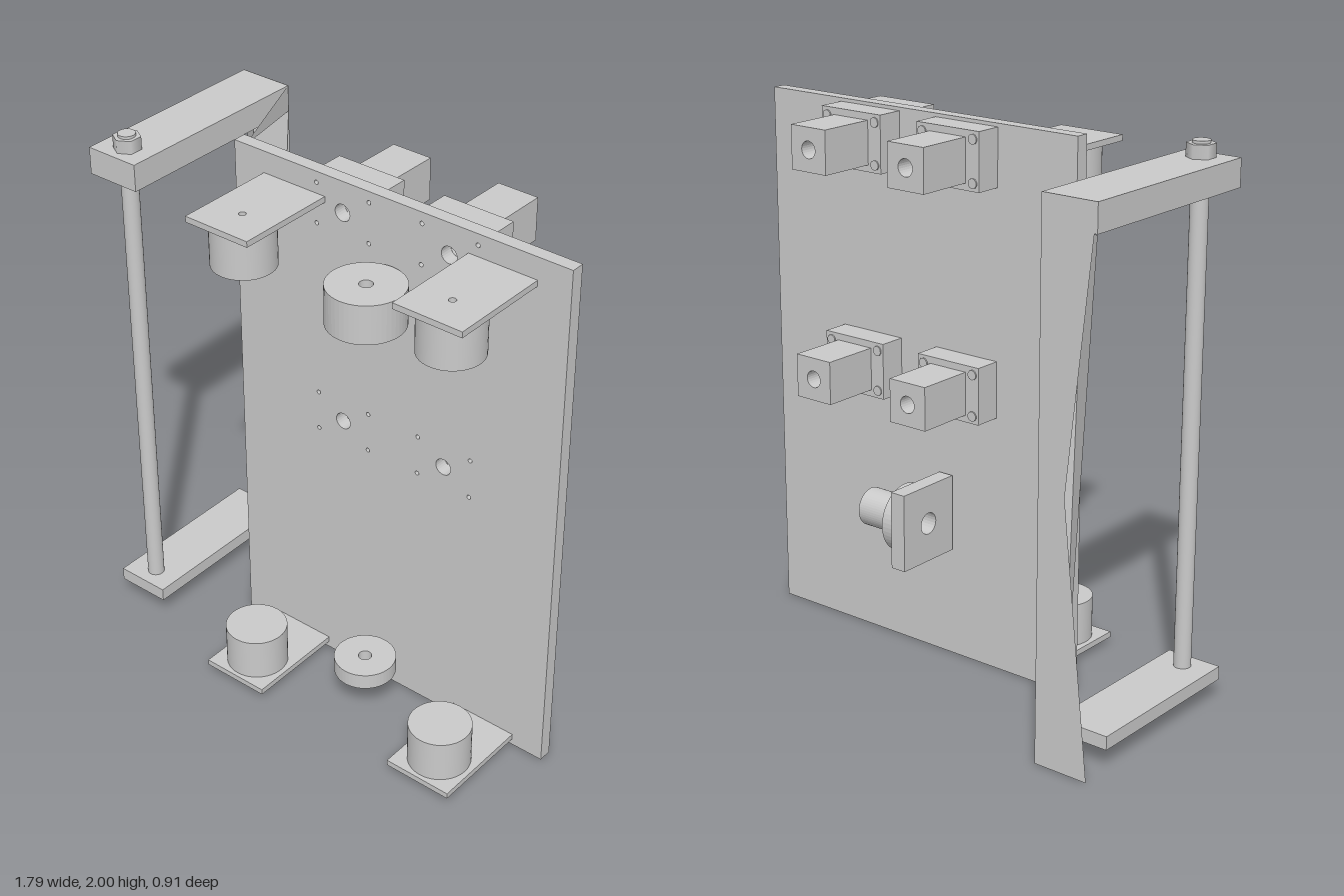
import * as THREE from 'three';

export function createModel() {
  const model = new THREE.Group();
  const metal = new THREE.MeshStandardMaterial({ color: 0xcacaca, side: THREE.DoubleSide });
  metal.name = 'light grey metal';

  const add = (name, geometry, x, y, z) => {
    const mesh = new THREE.Mesh(geometry, metal);
    mesh.name = name;
    mesh.position.set(x, y, z);
    model.add(mesh);
  };

  // Extrude an outline with round holes [x, y, radius], centred on its depth
  const drill = (shape, depth, holes, segments = 12) => {
    for (const [x, y, r] of holes) {
      shape.holes.push(new THREE.Path().absarc(x, y, r, 0, Math.PI * 2, true));
    }
    return new THREE.ExtrudeGeometry(shape, { depth, bevelEnabled: false, curveSegments: segments })
      .translate(0, 0, -depth / 2);
  };
  const slab = (w, h, depth, holes) => drill(new THREE.Shape([
    new THREE.Vector2(-w / 2, -h / 2), new THREE.Vector2(w / 2, -h / 2),
    new THREE.Vector2(w / 2, h / 2), new THREE.Vector2(-w / 2, h / 2)]), depth, holes);
  const ring = (r, hole, depth) =>
    drill(new THREE.Shape().absarc(0, 0, r, 0, Math.PI * 2), depth, [[0, 0, hole]], 24);

  // Loose triangles for the thin sheets
  const faces = (points) => {
    const g = new THREE.BufferGeometry();
    g.setAttribute('position', new THREE.Float32BufferAttribute(points.flat(), 3));
    g.computeVertexNormals();
    return g;
  };

  // Main board with bores and screw holes for the four bearing blocks
  const cx = 0.2125;
  const mounts = [];
  for (const x of [-0.004, 0.431]) for (const y of [1.884, 1.063]) mounts.push([x, y]);
  const corners = [];
  for (const sx of [-1, 1]) for (const sy of [-1, 1]) corners.push([sx * 0.11, sy * 0.075]);
  const boardHoles = [];
  for (const [x, y] of mounts) {
    boardHoles.push([x - cx, y - 1, 0.031]);
    for (const [dx, dy] of corners) boardHoles.push([x + dx - cx, y + dy - 1, 0.008]);
  }
  add('board', slab(1.365, 2, 0.05, boardHoles), cx, 1, 0.046);

  // Bearing blocks on the back
  for (const [x, y] of mounts) {
    add('bearingFlange', slab(0.272, 0.207, 0.1, [[0, 0, 0.031]]), x, y, -0.03);
    add('bearingBlock', slab(0.157, 0.157, 0.216, [[0, 0, 0.031]]), x, y, -0.188);
    for (const [dx, dy] of corners) {
      add('flangeScrew', new THREE.CylinderGeometry(0.018, 0.018, 0.01, 10).rotateX(Math.PI / 2),
        x + dx, y + dy, -0.08);
    }
  }

  // Sideways nozzle on the back: square plate, round flange, tube
  const nozzle = [
    ['nozzlePlate', slab(0.264, 0.287, 0.06, [[0, 0, 0.04]]), 0.08],
    ['nozzleFlange', ring(0.125, 0.04, 0.05), 0.135],
    ['nozzleTube', ring(0.07, 0.04, 0.16), 0.24],
  ];
  for (const [name, g, x] of nozzle) add(name, g.rotateY(Math.PI / 2), x, 0.56, -0.124);

  // Shelves with round feet, upper pair and lower pair
  for (const x of [-0.21, 0.637]) {
    for (const [shelfY, footY] of [[1.908, 1.817], [0.035, 0.125]]) {
      add('shelf', slab(0.264, 0.385, 0.022, [[0, -0.065, 0.013]]).rotateX(-Math.PI / 2), x, shelfY, 0.2625);
      add('roundFoot', new THREE.CylinderGeometry(0.113, 0.113, 0.163, 48), x, footY, 0.327);
    }
  }

  // Centre discs with a bore
  add('upperDisc', ring(0.137, 0.024, 0.145).rotateX(Math.PI / 2), cx, 1.692, 0.216);
  add('lowerDisc', ring(0.112, 0.024, 0.06).rotateX(Math.PI / 2), cx, 0.18, 0.216);

  // Side frame: two arms joined by a rod with a nut
  add('upperArm', new THREE.BoxGeometry(0.21, 0.1, 0.787), -0.793, 1.887, -0.062);
  add('lowerArm', new THREE.BoxGeometry(0.21, 0.05, 0.675), -0.793, 0.098, -0.008);
  add('rod', new THREE.CylinderGeometry(0.031, 0.031, 1.94, 32), -0.792, 1.025, 0.255);
  add('nut', new THREE.CylinderGeometry(0.05, 0.05, 0.048, 6), -0.792, 1.961, 0.255);

  // Rear post: crossed blades behind, a tapering ridge in front
  const l = -0.688, r = -0.898, back = -0.457;
  add('postBlades', faces([
    [l, 1.937, back], [l, 0, back], [r, 0, back],
    [l, 1.937, back], [l, 0, back], [r, 1.937, back],
  ]), 0, 0, 0);
  const tip = [-0.765, 0.02, -0.41];
  const ridge = [-0.785, 1.81, -0.37];
  add('postRidge', faces([
    [r, 1.835, -0.455], tip, ridge,
    ridge, tip, [l, 1.835, -0.455],
  ]), 0, 0, 0);

  // Pointed fin at the end of the upper arm
  add('armFin', faces([[l, 1.937, -0.455], [l, 1.837, -0.455], [-0.565, 1.885, -0.08]]), 0, 0, 0);

  return model;
}
